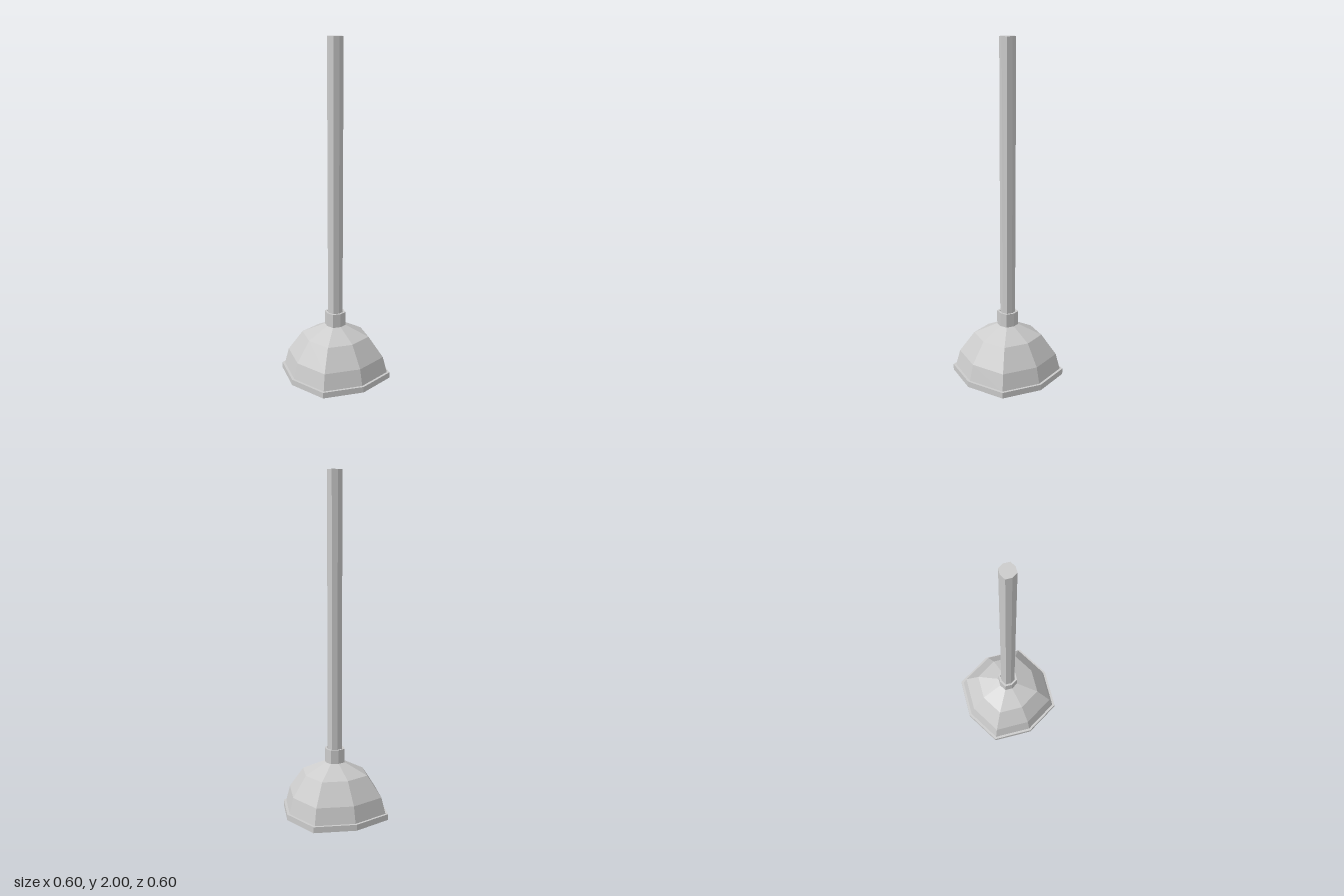
import * as THREE from 'three';

const material = new THREE.MeshStandardMaterial({ color: 0xcccccc, flatShading: true });

// Eight-sided turned part; corners on the diagonals sit a little further out.
function turned(name, profile) {
  const geometry = new THREE.LatheGeometry(profile.map(([r, y]) => new THREE.Vector2(r, y)), 8);
  const p = geometry.attributes.position;
  for (let i = 0; i < p.count; i++) {
    const x = p.getX(i), z = p.getZ(i);
    if (Math.abs(x) > 1e-4 && Math.abs(z) > 1e-4) p.setXYZ(i, x * 1.1, p.getY(i), z * 1.1);
  }
  geometry.computeVertexNormals();
  const mesh = new THREE.Mesh(geometry, material);
  mesh.name = name;
  return mesh;
}

export function createModel() {
  const group = new THREE.Group();
  group.name = 'plunger';

  // Hollow cup: straight conical inside, flat rim, then rounded outer wall upwards
  group.add(turned('cup', [
    [0, 0.28], [0.08, 0.28], [0.246, 0],
    [0.302, 0], [0.302, 0.035], [0.287, 0.035],
    [0.264, 0.13], [0.184, 0.253], [0.057, 0.318],
  ]));

  // Collar with a narrow gap around the handle
  group.add(turned('collar', [
    [0.057, 0.315], [0.057, 0.4], [0.045, 0.4], [0.045, 0.32], [0, 0.32],
  ]));

  // Long, very slightly tapered handle reaching down into the cup
  group.add(turned('handle', [[0, 0.16], [0.04, 0.16], [0.042, 2], [0, 2]]));

  return group;
}
